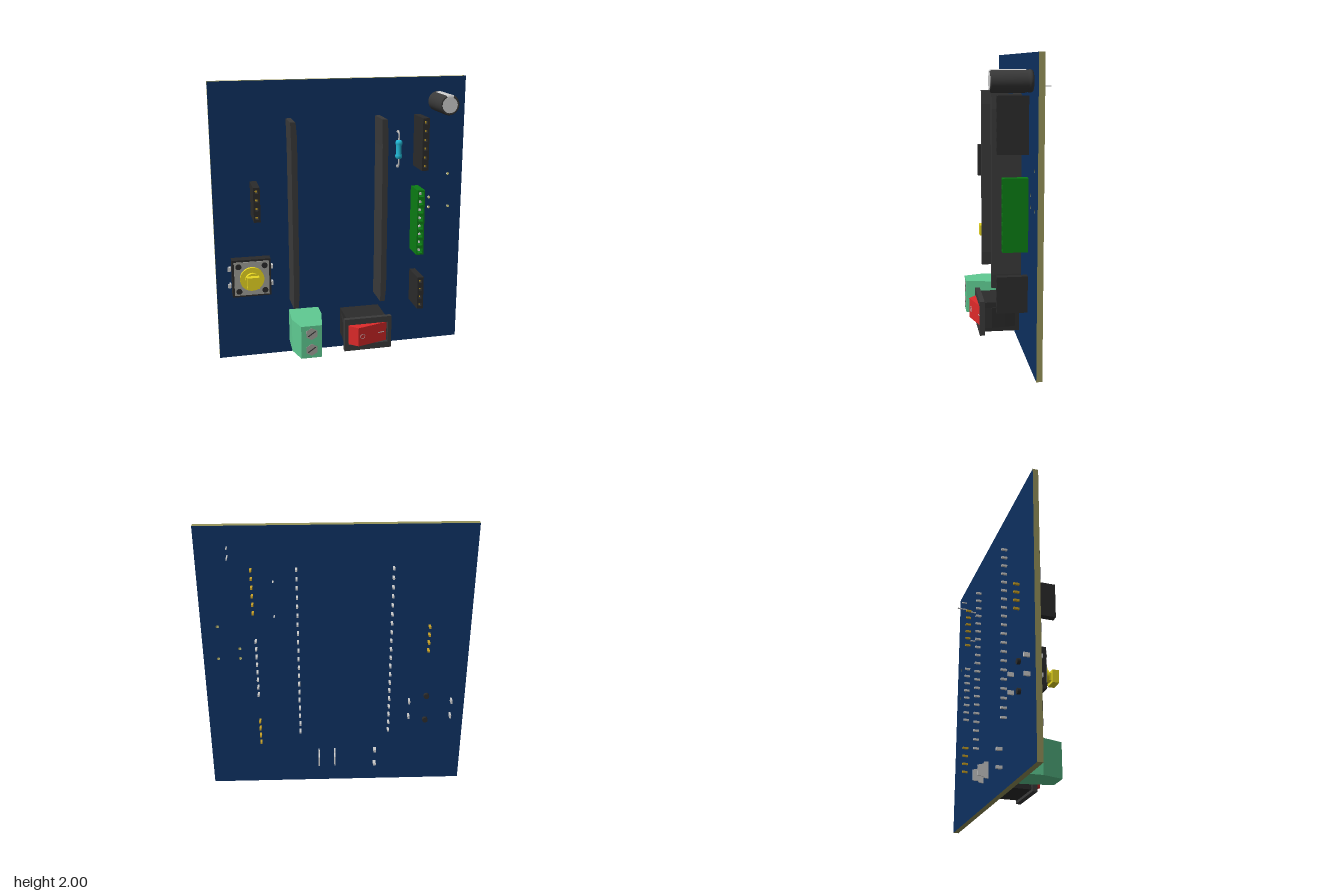
import * as THREE from 'three';

const mat = (color) => new THREE.MeshStandardMaterial({ color });
const M = {
  grey: mat(0xcccccc), blue: mat(0x0d3060), edge: mat(0x96935a), dark: mat(0x3a3a3a), black: mat(0x2b2b2b),
  gold: mat(0xc9a227), yellow: mat(0xe8d722), red: mat(0xe02a2a), mint: mat(0x5fcb92), green: mat(0x0b7d14),
  cyan: mat(0x22b8d6), steel: mat(0xa0a09a),
};
const FRONT = -0.112, BACK = -0.15, PIN_END = -0.19;

function add(parent, name, geo, material, x = 0, y = 0, z = 0) {
  const m = new THREE.Mesh(geo, material);
  m.name = name;
  m.position.set(x, y, z);
  parent.add(m);
  return m;
}
function group(parent, name) {
  const g = new THREE.Group();
  g.name = name;
  parent.add(g);
  return g;
}
// Box given by its limits
const box = (p, name, m, x0, x1, y0, y1, z0, z1) =>
  add(p, name, new THREE.BoxGeometry(x1 - x0, y1 - y0, z1 - z0), m, (x0 + x1) / 2, (y0 + y1) / 2, (z0 + z1) / 2);
// Cylinder along z
const disc = (p, name, m, x, y, z0, z1, r, seg = 24) =>
  add(p, name, new THREE.CylinderGeometry(r, r, z1 - z0, seg).rotateX(Math.PI / 2), m, x, y, (z0 + z1) / 2);
const pin = (p, m, x, y, z1 = FRONT, z0 = PIN_END, s = 0.014) =>
  box(p, 'pin', m, x - s / 2, x + s / 2, y - s / 2, y + s / 2, z0, z1);

const rect = (C, x0, x1, y0, y1) =>
  new C([[x0, y0], [x1, y0], [x1, y1], [x0, y1]].map(([a, b]) => new THREE.Vector2(a, b)));
const extrude = (shape, depth) => new THREE.ExtrudeGeometry(shape, { depth, bevelEnabled: false, curveSegments: 8 });
// Profile of [x, z] points swept from y0 to y1
function sweepY(p, name, m, pts, y0, y1) {
  const shape = new THREE.Shape(pts.map(([x, z]) => new THREE.Vector2(x, -z)));
  return add(p, name, extrude(shape, y1 - y0).rotateX(-Math.PI / 2), m, 0, y0, 0);
}

// Socket strip with square openings and pins through the board
function socketStrip(root, name, body, pinMat, x0, x1, y0, y1, zTop, count, hole) {
  const g = group(root, name);
  const shape = rect(THREE.Shape, x0, x1, y0, y1);
  const cx = (x0 + x1) / 2, pitch = (y1 - y0) / count;
  for (let i = 0; i < count; i++) {
    const y = y0 + pitch * (i + 0.5);
    shape.holes.push(rect(THREE.Path, cx - hole, cx + hole, y - hole, y + hole));
    pin(g, pinMat, cx, y, zTop - 0.02);
  }
  add(g, 'stripBody', extrude(shape, zTop - FRONT), body, 0, 0, FRONT);
}

// Long plain strip with tapered ends
function longStrip(root, x) {
  const g = group(root, 'longHeader');
  const pts = [[-0.02, 0.42], [0.014, 0.42], [0.024, 0.52], [0.024, 1.64], [0.016, 1.74], [-0.02, 1.74], [-0.016, 1.55], [-0.016, 0.6]];
  const shape = new THREE.Shape(pts.map(([a, b]) => new THREE.Vector2(a + x, b)));
  add(g, 'headerBody', extrude(shape, 0.09 - FRONT), M.dark, 0, 0, FRONT);
  for (let i = 0; i < 20; i++) pin(g, M.grey, x, 0.453 + i * 0.066);
}

function circuitBoard(root) {
  const shape = rect(THREE.Shape, -0.91, 0.91, 0, 2);
  for (const [x, y] of [[0.8, 1.295], [0.66, 1.125], [0.66, 1.05], [0.81, 1.05]])
    shape.holes.push(new THREE.Path().absarc(x, y, 0.011, 0, Math.PI * 2));
  add(root, 'circuitBoard', extrude(shape, FRONT - BACK), [M.blue, M.edge], 0, 0, BACK);
}

function capacitor(root) {
  const g = group(root, 'capacitor'), x = 0.7, y = 1.83;
  const lathe = (pts, a = 0, l = Math.PI * 2) =>
    new THREE.LatheGeometry(pts.map(([r, h]) => new THREE.Vector2(r, h)), l < 6 ? 8 : 32, a, l).rotateX(Math.PI / 2);
  add(g, 'sleeve', lathe([[0, FRONT], [0.064, FRONT], [0.07, -0.1], [0.07, -0.09], [0.066, -0.08], [0.07, -0.07],
    [0.07, 0.14], [0.064, 0.15], [0.064, 0.15], [0, 0.15]]), M.dark, x, y);
  add(g, 'polarityStripe', lathe([[0.071, -0.07], [0.071, 0.141], [0.065, 0.152], [0.05, 0.152]],
    Math.PI - 0.4, 0.8), M.grey, x, y);
  disc(g, 'canTop', M.grey, x, y, 0.14, 0.152, 0.054, 32);
  pin(g, M.grey, x, y + 0.03, FRONT, -0.19, 0.008);
  pin(g, M.grey, x, y - 0.03, FRONT, -0.225, 0.008);
}

function resistor(root) {
  const g = group(root, 'resistor'), x = 0.415, y = 1.495, z = -0.085;
  const pts = [[0, -0.068], [0.017, -0.066], [0.025, -0.055], [0.025, -0.04], [0.02, -0.03],
    [0.02, 0.03], [0.025, 0.04], [0.025, 0.055], [0.017, 0.066], [0, 0.068]];
  add(g, 'resistorBody', new THREE.LatheGeometry(pts.map((p) => new THREE.Vector2(...p)), 16), M.cyan, x, y, z);
  for (const s of [-1, 1]) {
    const path = new THREE.CurvePath();
    const P = (dy, pz) => new THREE.Vector3(x, y + s * dy, pz);
    path.add(new THREE.LineCurve3(P(0.06, z), P(0.105, z)));
    path.add(new THREE.QuadraticBezierCurve3(P(0.105, z), P(0.125, z), P(0.125, z - 0.02)));
    path.add(new THREE.LineCurve3(P(0.125, z - 0.02), P(0.125, PIN_END)));
    add(g, 'lead', new THREE.TubeGeometry(path, 20, 0.006, 6), M.grey);
    disc(g, 'solderRing', M.grey, x, y + s * 0.125, FRONT, FRONT + 0.004, 0.011, 12);
  }
}

function pushButton(root) {
  const g = group(root, 'pushButton'), x = -0.665, y = 0.627;
  box(g, 'buttonBase', M.black, x - 0.137, x + 0.137, y - 0.137, y + 0.137, FRONT, -0.042);
  box(g, 'coverPlate', M.steel, x - 0.123, x + 0.123, y - 0.123, y + 0.123, -0.042, -0.034);
  disc(g, 'plungerDisc', M.yellow, x, y, -0.034, -0.014, 0.086);
  disc(g, 'plungerCollar', M.yellow, x, y, -0.014, 0.012, 0.05);
  box(g, 'plungerStem', M.yellow, x - 0.025, x + 0.025, y - 0.025, y + 0.025, 0.012, 0.034);
  box(g, 'plungerKnob', M.yellow, x - 0.042, x + 0.042, y - 0.042, y + 0.042, 0.034, 0.076);
  for (const sx of [-1, 1]) for (const sy of [-1, 1]) {
    disc(g, 'rivet', M.black, x + sx * 0.092, y + sy * 0.092, -0.036, -0.028, 0.021, 16);
    const lx = x + sx * 0.15, ly = y + sy * 0.062;
    box(g, 'legArm', M.grey, lx - 0.016, lx + 0.008, ly - 0.014, ly + 0.014, -0.084, -0.074);
    box(g, 'leg', M.grey, lx - 0.004, lx + 0.008, ly - 0.014, ly + 0.014, PIN_END, -0.074);
  }
  for (const sy of [-1, 1]) disc(g, 'locatingPeg', M.black, x + 0.03, y + sy * 0.1, -0.172, FRONT, 0.02, 12);
}

function screwTerminal(root) {
  const g = group(root, 'screwTerminal'), y0 = 0.093, y1 = 0.335;
  sweepY(g, 'terminalBody', M.mint, [[-0.395, FRONT], [-0.404, 0.08], [-0.362, 0.222], [-0.215, 0.222],
    [-0.177, 0.02], [-0.215, 0.02], [-0.215, FRONT]], y0, y1);
  // Side wall with the wire openings
  const wall = rect(THREE.Shape, -0.02, -FRONT, y0, y1);
  for (const y of [0.155, 0.275]) {
    wall.holes.push(rect(THREE.Path, -0.005, 0.085, y - 0.038, y + 0.038));
    box(g, 'wireClamp', M.steel, -0.22, -0.205, y - 0.038, y + 0.038, -0.085, 0.005);
    disc(g, 'screw', M.steel, -0.288, y, 0.2, 0.225, 0.045, 6);
    box(g, 'screwSlot', M.dark, -0.32, -0.256, y - 0.004, y + 0.004, 0.224, 0.2256).rotation.z = 0.6;
    pin(g, M.grey, -0.278, y, FRONT, PIN_END, 0.02);
  }
  add(g, 'wireWall', extrude(wall, 0.038).rotateY(Math.PI / 2), M.mint, -0.215);
}

function rockerSwitch(root) {
  const g = group(root, 'rockerSwitch'), cx = 0.1325;
  box(g, 'switchBody', M.black, -0.012, 0.277, 0.112, 0.318, -0.1, 0.142);
  const frame = rect(THREE.Shape, -0.04, 0.305, 0.093, 0.335);
  frame.holes.push(rect(THREE.Path, -0.014, 0.279, 0.138, 0.292));
  add(g, 'bezel', extrude(frame, 0.034), M.dark, 0, 0, 0.14);
  sweepY(g, 'rocker', M.red, [[-0.008, 0.14], [-0.008, 0.174], [0.05, 0.224], [0.272, 0.158], [0.272, 0.14]], 0.145, 0.285);
  // Raised marks on the long slope of the rocker
  const ring = add(g, 'ringMark', new THREE.TorusGeometry(0.018, 0.002, 6, 24), M.grey, 0.083, 0.215, 0.2145);
  const dash = add(g, 'dashMark', new THREE.BoxGeometry(0.045, 0.005, 0.004), M.grey, 0.232, 0.215, 0.17);
  ring.rotation.y = dash.rotation.y = 0.29;
  // Springy side clips
  for (const s of [-1, 1]) {
    const pts = [[0.14, -0.1], [0.157, 0], [0.168, 0.09], [0.16, 0.14], [0.152, 0.14], [0.158, 0.09], [0.147, 0], [0.135, -0.08]];
    sweepY(g, 'sideClip', M.black, pts.map(([x, z]) => [cx + s * x, z]), 0.145, 0.285);
  }
  // Flat contact blades
  const blade = new THREE.Shape([[0.1, 0.16], [0.18, 0.17], [0.187, 0.18], [0.225, 0.18], [0.225, 0.255],
    [0.187, 0.265], [0.18, 0.28], [0.1, 0.285]].map(([a, b]) => new THREE.Vector2(a, b)));
  for (const x of [0.015, 0.13]) add(g, 'contactBlade', extrude(blade, 0.01).rotateY(Math.PI / 2), M.grey, x - 0.005);
}

export function createModel() {
  const root = new THREE.Group();
  root.name = 'circuitBoardAssembly';
  circuitBoard(root);
  longStrip(root, -0.37);
  longStrip(root, 0.262);
  socketStrip(root, 'leftSocket', M.black, M.gold, -0.65, -0.604, 1.07, 1.312, 0.09, 4, 0.011);
  socketStrip(root, 'upperSocket', M.black, M.gold, 0.532, 0.58, 1.37, 1.738, 0.09, 6, 0.011);
  socketStrip(root, 'lowerSocket', M.black, M.gold, 0.524, 0.57, 0.335, 0.578, 0.09, 4, 0.011);
  socketStrip(root, 'greenSocket', M.green, M.grey, 0.52, 0.574, 0.74, 1.22, 0.053, 8, 0.018);
  capacitor(root);
  resistor(root);
  pushButton(root);
  screwTerminal(root);
  rockerSwitch(root);
  return root;
}
